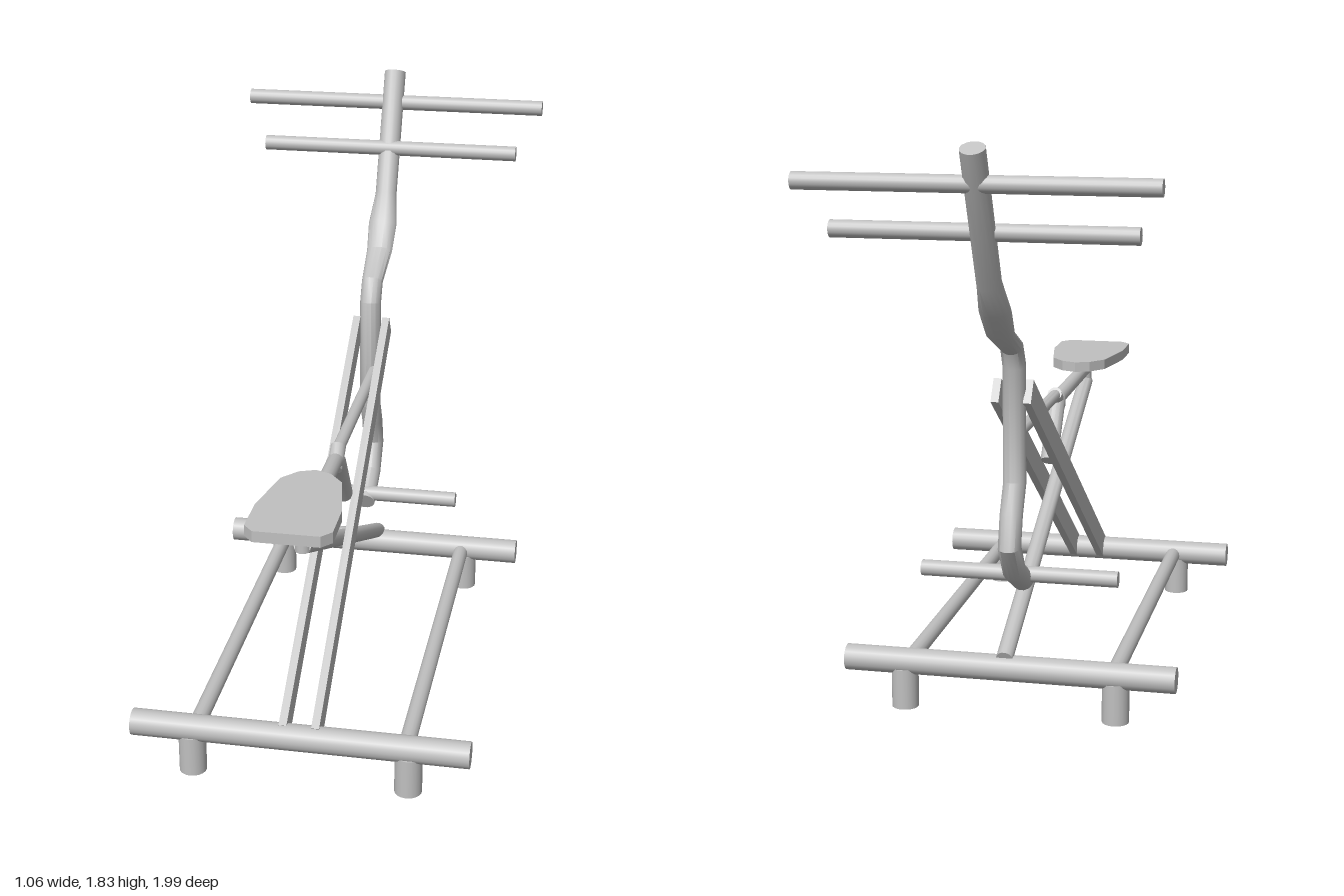
import * as THREE from 'three';
import { toCreasedNormals } from 'three/addons/utils/BufferGeometryUtils.js';

const steel = new THREE.MeshStandardMaterial({ color: 0xc0c0c0 });
steel.name = 'grey steel';

// Mitred, capped tube along a path in the plane x = const.
// Each point is [z, y, half width in x, half thickness].
function sweep(path, x = 0, sides = 14) {
  const pts = path.map(([z, y]) => new THREE.Vector3(x, y, z));
  const side = new THREE.Vector3(1, 0, 0);
  const pos = [], idx = [];
  const last = pts.length - 1;
  pts.forEach((p, i) => {
    const before = pts[i].clone().sub(pts[Math.max(i - 1, 0)]).normalize();
    const after = pts[Math.min(i + 1, last)].clone().sub(p).normalize();
    const tangent = before.clone().add(after).normalize();
    const mitre = i > 0 && i < last ? 1 / tangent.dot(after) : 1;
    const normal = tangent.clone().cross(side);
    const [, , w, h = w] = path[i];
    for (let j = 0; j < sides; j++) {
      const a = (j / sides) * Math.PI * 2;
      const v = p.clone().addScaledVector(side, Math.cos(a) * w)
        .addScaledVector(normal, Math.sin(a) * h * mitre);
      pos.push(v.x, v.y, v.z);
    }
  });
  const start = pos.length / 3;
  for (const p of [pts[0], pts[last]]) pos.push(p.x, p.y, p.z);
  for (let j = 0; j < sides; j++) {
    const k = (j + 1) % sides;
    for (let i = 0; i < last; i++) {
      const a = i * sides + j, b = i * sides + k;
      idx.push(a, b, a + sides, b, b + sides, a + sides);
    }
    idx.push(start, k, j, start + 1, last * sides + j, last * sides + k);
  }
  const geo = new THREE.BufferGeometry();
  geo.setAttribute('position', new THREE.Float32BufferAttribute(pos, 3));
  geo.setIndex(idx);
  return toCreasedNormals(geo, 0.6);
}

export function createModel() {
  const model = new THREE.Group();
  model.name = 'exerciseMachine';

  function add(name, geometry, x = 0, y = 0, z = 0) {
    const mesh = new THREE.Mesh(geometry, steel);
    mesh.name = name;
    mesh.position.set(x, y, z);
    model.add(mesh);
    return mesh;
  }
  const crossBar = (name, y, z, r, x0, x1) =>
    add(name, new THREE.CylinderGeometry(r, r, x1 - x0, 18), (x0 + x1) / 2, y, z).rotation.z = Math.PI / 2;

  // Base frame with four feet
  for (const [end, z] of [['front', 0.845], ['back', -0.515]]) {
    crossBar(end + 'BaseBar', 0.15, z, 0.042, -0.53, 0.53);
    for (const s of [-1, 1])
      add(end + 'Foot', new THREE.CylinderGeometry(0.043, 0.043, 0.13, 18), s * 0.34, 0.065, z);
  }
  for (const s of [-1, 1])
    add('sideRail', sweep([[0.845, 0.147, 0.026], [-0.515, 0.147, 0.026]], s * 0.33));

  // Twin flat diagonal straps
  const z0 = 0.83, y0 = 0.16, z1 = -0.46, y1 = 1.03;
  for (const s of [-1, 1]) {
    const strap = add('diagonalStrap',
      new THREE.BoxGeometry(0.025, 0.08, Math.hypot(z1 - z0, y1 - y0)),
      s * 0.051, (y0 + y1) / 2, (z0 + z1) / 2);
    strap.rotation.x = Math.atan2(y1 - y0, z0 - z1);
  }

  // Seat supports
  add('seatPole', sweep([[0.825, 0.805, 0.027], [-0.53, 0.185, 0.027]], 0.012));
  add('seatTube', sweep([[0.82, 0.785, 0.024], [0.82, 0.853, 0.024], [0.32, 0.847, 0.025],
    [0.28, 0.83, 0.03], [0.155, 0.657, 0.03]], 0.012));
  add('pivotSleeve', sweep([[0.32, 0.82, 0.025], [0.25, 0.872, 0.025]], 0.012));
  add('linkRod', sweep([[0.27, 0.865, 0.02], [-0.45, 0.865, 0.02]], 0.012));

  // Seat: tapered plate, drawn as half outlines mirrored in x
  const half = [[0.1, 0.995], [0.13, 0.96], [0.13, 0.82], [0.095, 0.63], [0.05, 0.575]];
  const outline = [...half, [0, 0.555], ...half.map(([x, z]) => [-x, z]).reverse()];
  const seat = new THREE.Shape(outline.map(([x, z]) => new THREE.Vector2(x, -z)));
  add('seat', new THREE.ExtrudeGeometry(seat, { depth: 0.035, bevelEnabled: false }), 0, 0.89, 0)
    .rotation.x = -Math.PI / 2;

  // Bent main column, slightly flattened at its upper bend
  add('mainColumn', sweep([
    [-0.345, 0.39, 0.037], [-0.465, 0.455, 0.037], [-0.53, 0.55, 0.037], [-0.505, 0.645, 0.037],
    [-0.455, 0.735, 0.037], [-0.455, 1.11, 0.037], [-0.49, 1.175, 0.037, 0.03],
    [-0.64, 1.24, 0.045, 0.023], [-0.705, 1.32, 0.05, 0.03], [-0.775, 1.41, 0.038, 0.036],
    [-0.962, 1.812, 0.038]], -0.006));

  // Handlebars and foot rest
  crossBar('upperHandlebar', 1.71, -0.925, 0.026, -0.53, 0.53);
  crossBar('lowerHandlebar', 1.565, -0.832, 0.026, -0.455, 0.45);
  crossBar('footRest', 0.415, -0.365, 0.026, -0.32, 0.32);

  return model;
}
